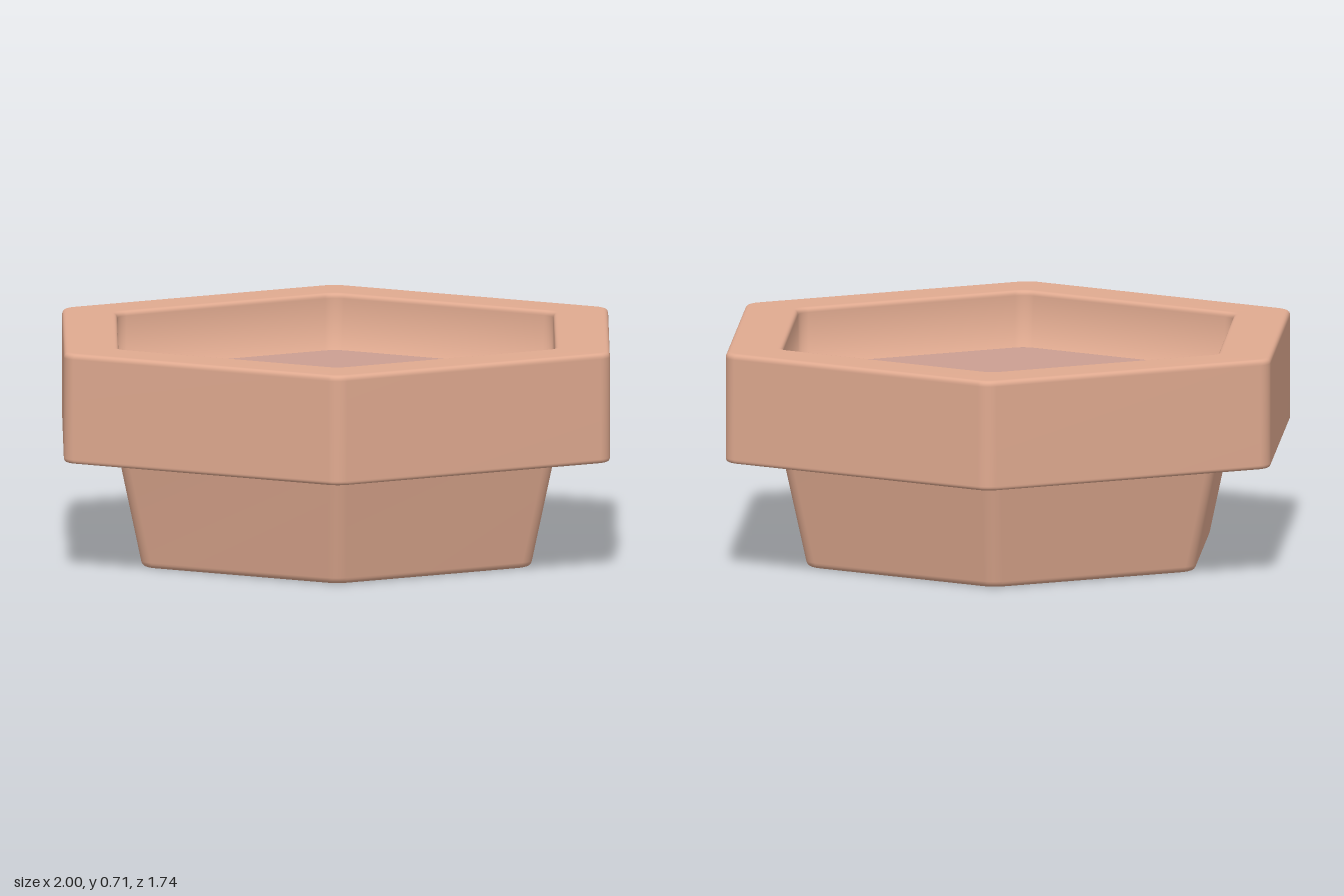
import * as THREE from 'three';

const ARC = 6; // segments per rounded corner

// Rounded hexagon outline: flats face +-z, corners point along +-x
function hexagon(apothem, radius) {
  const r = Math.min(radius, apothem * 0.5), points = [];
  const reach = (apothem - r) * 2 / Math.sqrt(3);
  for (let k = 0; k < 6; k++) {
    const corner = k * Math.PI / 3;
    for (let i = 0; i <= ARC; i++) {
      const a = corner + (i / ARC - 0.5) * Math.PI / 3;
      points.push([reach * Math.cos(corner) + r * Math.cos(a), reach * Math.sin(corner) + r * Math.sin(a)]);
    }
  }
  return points;
}

// Rounds each profile corner [apothem, y, bevel] with a short curve
function bevelProfile(corners) {
  const out = [], at = (c) => new THREE.Vector2(c[0], c[1]);
  corners.forEach((c, i) => {
    const p = at(c);
    if (!c[2]) return out.push(p);
    const toward = (q) => p.clone().add(at(q).sub(p).setLength(c[2]));
    const curve = new THREE.QuadraticBezierCurve(toward(corners[i - 1]), p, toward(corners[i + 1]));
    out.push(...curve.getPoints(5));
  });
  return out;
}

// Lofts rounded hexagons along a profile of apothem and height
function hexLoft(corners, radius) {
  const rows = bevelProfile(corners), n = 6 * (ARC + 1), position = [], index = [];
  for (const p of rows) for (const [x, z] of hexagon(p.x, radius)) position.push(x, p.y, z);
  for (let j = 0; j < rows.length - 1; j++) {
    for (let i = 0; i < n; i++) {
      const a = j * n + i, b = j * n + (i + 1) % n;
      index.push(a, a + n, b, b, a + n, b + n);
    }
  }
  const geometry = new THREE.BufferGeometry();
  geometry.setAttribute('position', new THREE.Float32BufferAttribute(position, 3));
  geometry.setIndex(index);
  geometry.computeVertexNormals();
  return geometry;
}

function part(name, geometry, color) {
  const mesh = new THREE.Mesh(geometry, new THREE.MeshStandardMaterial({ color }));
  mesh.name = name;
  return mesh;
}

export function createModel() {
  const group = new THREE.Group();
  group.name = 'hexagonalPlanter';

  // Tapered foot, wide rim and inner wall in one continuous shell
  const pot = hexLoft([
    [0.0001, 0], [0.62, 0, 0.02],
    [0.695, 0.36, 0.025],
    [0.872, 0.36, 0.014], [0.872, 0.715, 0.018],
    [0.697, 0.715, 0.016], [0.693, 0.5], [0.0001, 0.5],
  ], 0.06);
  group.add(part('pot', pot, 0xe0aa90));

  // Fill surface sunk inside the rim
  const fill = hexLoft([[0.694, 0.5], [0.694, 0.535, 0.016], [0.0001, 0.535]], 0.06);
  group.add(part('fill', fill, 0xcb9f92));

  return group;
}
